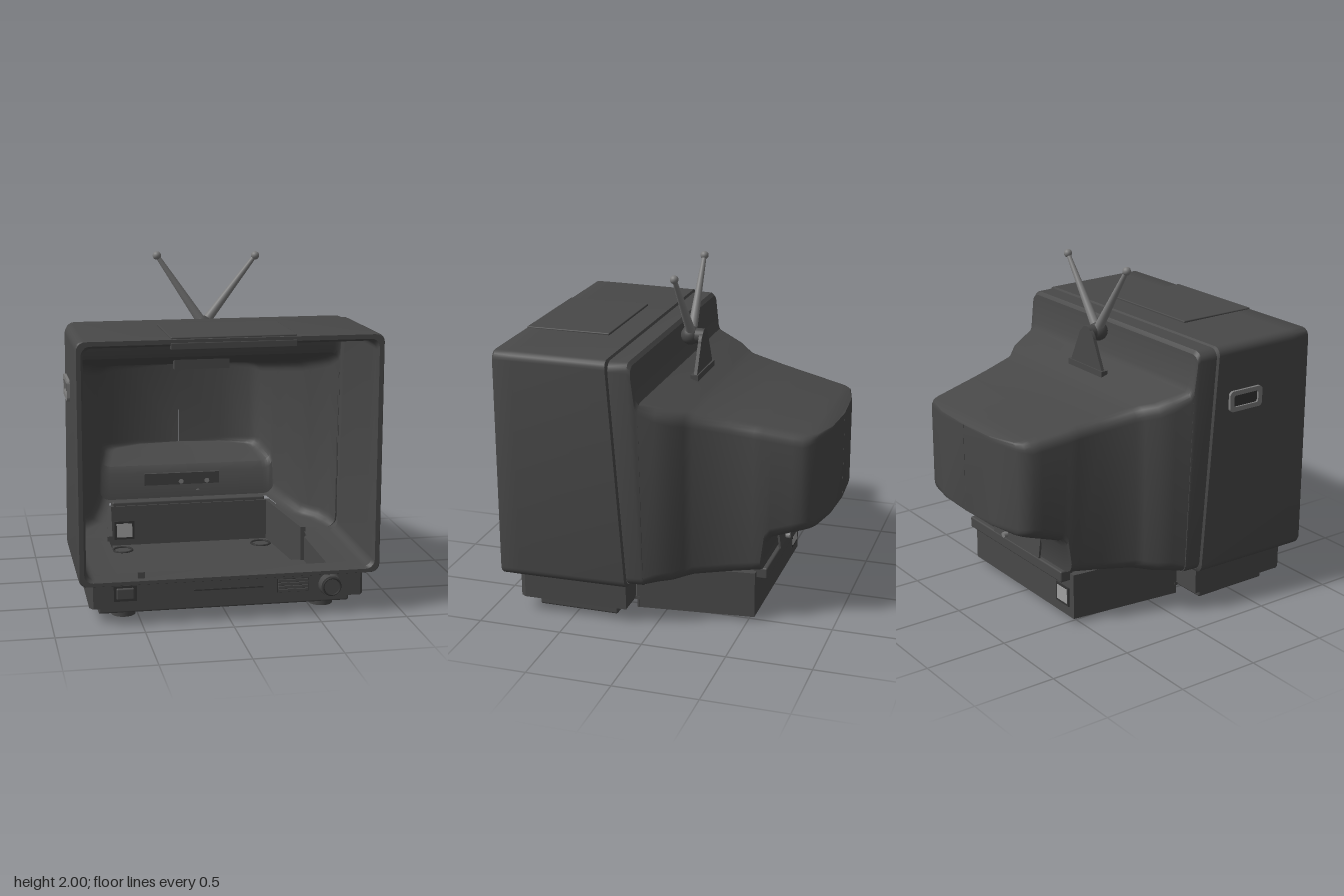
import * as THREE from 'three';
import { toCreasedNormals } from 'three/addons/utils/BufferGeometryUtils.js';
import { RoundedBoxGeometry } from 'three/addons/geometries/RoundedBoxGeometry.js';

const mat = (name, color) => {
  const m = new THREE.MeshStandardMaterial({ color, side: THREE.DoubleSide });
  m.name = name;
  return m;
};

// Rounded-rectangle outline, open along the bottom between -gap and +gap.
// tilt leans the section so that its top sits further forward.
function ring({ z, tilt = 0, hw, yb, yt, r, gap }) {
  const rad = Math.min(r, hw), pts = [], n = 5;
  const add = (x, y) => pts.push(new THREE.Vector3(x, y, z + tilt * (y - 0.93)));
  const lip = Math.min(gap, hw - rad);
  add(lip, yb);
  for (let c = 0; c < 4; c++) {
    const cx = (c < 2 ? 1 : -1) * (hw - rad);
    const cy = c === 1 || c === 2 ? yt - rad : yb + rad;
    for (let i = 0; i <= n; i++) {
      const a = (c - 1 + i / n) * Math.PI / 2;
      add(cx + rad * Math.cos(a), cy + rad * Math.sin(a));
    }
  }
  add(-lip, yb);
  return pts;
}

// Skin a list of sections
function loft(sections) {
  const rings = sections.map(ring), pos = [];
  const put = (...vs) => vs.forEach((v) => pos.push(v.x, v.y, v.z));
  for (let i = 0; i < rings.length - 1; i++) {
    for (let j = 0; j < rings[i].length - 1; j++) {
      const a = rings[i][j], b = rings[i][j + 1], c = rings[i + 1][j + 1], d = rings[i + 1][j];
      put(a, d, c, a, c, b);
    }
  }
  const g = new THREE.BufferGeometry();
  g.setAttribute('position', new THREE.Float32BufferAttribute(pos, 3));
  return toCreasedNormals(g, 0.6);
}

// Extrude a plan outline from y0 to y1; the right half as [x, z] points is mirrored
function planPrism(half, y0, y1) {
  const left = half.map(([x, z]) => [-x, z]).reverse();
  const s = new THREE.Shape([...half, ...left].map(([x, z]) => new THREE.Vector2(x, -z)));
  const g = new THREE.ExtrudeGeometry(s, { depth: y1 - y0, bevelEnabled: false });
  return g.rotateX(-Math.PI / 2).translate(0, y0, 0);
}

// Rounded rectangle outline with half sizes w, h
function roundedRect(w, h, r, Type) {
  const s = new Type(), q = Math.PI / 2;
  [[1, 1], [-1, 1], [-1, -1], [1, -1]].forEach(([sx, sy], i) => {
    s.absarc(sx * (w - r), sy * (h - r), r, i * q, (i + 1) * q);
  });
  return s.closePath();
}

// Underside of the rear housing: gentle rise, then a step up over the connectors
function rearBottom(z) {
  if (z > -0.59) return 0.279 - 0.1 * z;
  return z > -0.61 ? 0.5 : 0.545 - 0.28 * (z + 0.63);
}

export function createModel() {
  const model = new THREE.Group();
  const body = mat('charcoal plastic', 0x484848);
  const dark = mat('dark slots', 0x343434);
  const metal = mat('grey metal', 0x7c7c7c);
  const light = mat('pale socket', 0xa0a0a0);

  const add = (name, geo, material, x = 0, y = 0, z = 0) => {
    const m = new THREE.Mesh(geo, material);
    m.name = name;
    m.position.set(x, y, z);
    model.add(m);
    return m;
  };
  const box = (name, material, x0, x1, y0, y1, z0, z1, r = 0) => {
    const s = [x1 - x0, y1 - y0, z1 - z0];
    const g = r ? new RoundedBoxGeometry(...s, 2, r) : new THREE.BoxGeometry(...s);
    return add(name, g, material, (x0 + x1) / 2, (y0 + y1) / 2, (z0 + z1) / 2);
  };

  // Front housing: inner wall, rim, outer wall as [z, tilt, inset, gap]
  const frontRows = [
    [0.19, 0.074, 0.042, 0.6], [0.8, 0, 0.043, 0.6], [0.8, 0, 0.043, 0], [0.9, 0, 0.043, 0],
    [0.92, 0, 0.03, 0], [0.92, 0, 0.005, 0], [0.91, 0, 0, 0], [0.8, 0, 0, 0],
    [0.8, 0, 0, 0.6], [0.2, 0.074, 0.005, 0.6], [0.19, 0.074, 0.022, 0.6],
  ];
  add('frontHousing', loft(frontRows.map(([z, tilt, inset, gap]) => (
    { z, tilt, gap, r: 0.05, hw: 0.857 - inset, yb: 0.247 + 0.8 * inset, yt: 1.622 - inset }))), body);

  // Rear housing: tilted shoulder as [z, tilt, halfWidth, top], then the taper as [z, halfWidth]
  const shoulder = [
    [0.197, 0.074, 0.825, 1.595], [0.185, 0.074, 0.845, 1.61], [0.09, 0.055, 0.838, 1.61],
    [0.075, 0.05, 0.835, 1.59], [0.07, 0.035, 0.83, 1.41], [0.06, 0.02, 0.825, 1.375],
  ].map(([z, tilt, hw, yt]) => ({ z, tilt, hw, yt, yb: 0.272, r: 0.055, gap: 0.6 }));
  const taper = [
    [-0.02, 0.8], [-0.1, 0.765], [-0.16, 0.705], [-0.2, 0.672], [-0.4, 0.615], [-0.53, 0.585],
    [-0.531, 0.585], [-0.58, 0.575], [-0.6, 0.571], [-0.63, 0.565], [-0.75, 0.54], [-0.8, 0.53],
    [-0.84, 0.505], [-0.87, 0.465], [-0.915, 0.28], [-0.93, 0.001],
  ].map(([z, hw]) => ({
    z, hw,
    yb: rearBottom(z),
    yt: 1.285 + (z + 0.2) * (z > -0.2 ? 0.33 : 0.17),
    r: Math.min(0.07, 0.35 * (z + 1)),
    gap: z >= -0.53 ? 0.59 + 0.107 * z : 0,
  }));
  add('rearHousing', loft([...shoulder, ...taper]), body);

  // Lid on top
  box('topLid', body, -0.34, 0.36, 1.61, 1.63, 0.4, 0.915, 0.006);
  box('topLidLip', body, -0.34, 0.36, 1.56, 1.6, 0.88, 0.922, 0.005);

  // Base: front section and rear tray, open to the inside
  add('frontBase', planPrism([[0.77, 0.83], [0.79, 0.8], [0.78, 0.17], [0.6, 0.17], [0.6, 0.79]], 0.09, 0.252), body);
  box('frontBaseFloor', body, -0.61, 0.61, 0.08, 0.1, 0.16, 0.8);
  box('frontBasePlate', body, -0.73, 0.73, 0.025, 0.085, 0.24, 0.73, 0.012);
  add('rearBaseWalls', planPrism([[0.51, -0.51], [0.58, 0.16], [0.61, 0.16], [0.535, -0.54]], 0.03, 0.31), body);
  add('rearBaseFloor', planPrism([[0.61, 0.16], [0.535, -0.535]], 0.03, 0.05), body);
  box('rearBaseStep', body, -0.61, 0.61, 0.03, 0.1, 0.145, 0.16);
  box('rearLedge', body, -0.5, 0.5, 0.265, 0.335, -0.605, -0.52, 0.01);

  // Feet
  for (const s of [-1, 1]) {
    add('frontFoot', new THREE.CylinderGeometry(0.075, 0.07, 0.08, 24), body, s * 0.58, 0.04, 0.655);
    add('rearFoot', new THREE.CylinderGeometry(0.065, 0.06, 0.02, 24), body, s * 0.42, 0.025, -0.37);
    const recess = add('footRecess', new THREE.TorusGeometry(0.06, 0.008, 6, 24), dark, s * 0.45, 0.051, -0.4);
    recess.rotation.x = Math.PI / 2;
  }

  // Front controls
  box('powerButtonFrame', dark, -0.655, -0.525, 0.13, 0.22, 0.82, 0.837);
  box('powerButton', body, -0.64, -0.54, 0.142, 0.208, 0.82, 0.85, 0.008);
  box('frontSlot', dark, -0.2, 0.2, 0.166, 0.174, 0.82, 0.833);
  box('ventPanel', dark, 0.28, 0.465, 0.13, 0.21, 0.82, 0.833);
  for (let i = 0; i < 4; i++) {
    const y = 0.134 + i * 0.019;
    box('ventSlat', body, 0.285, 0.46, y, y + 0.015, 0.82, 0.842);
  }
  add('dial', new THREE.CylinderGeometry(0.062, 0.068, 0.06, 32), body, 0.59, 0.163, 0.852).rotation.x = Math.PI / 2;
  add('dialRing', new THREE.TorusGeometry(0.05, 0.006, 6, 32), dark, 0.59, 0.163, 0.881);
  box('rimCatch', body, -0.53, -0.49, 0.29, 0.325, 0.9, 0.93);

  // Side handle
  const handleShape = roundedRect(0.12, 0.062, 0.025, THREE.Shape);
  handleShape.holes.push(roundedRect(0.09, 0.035, 0.015, THREE.Path));
  const handleGeo = new THREE.ExtrudeGeometry(handleShape, { depth: 0.016, bevelEnabled: false });
  add('sideHandle', handleGeo, metal, -0.855, 1.285, 0.44).rotation.y = -Math.PI / 2;
  box('handleRecess', dark, -0.859, -0.854, 1.25, 1.32, 0.35, 0.53);

  // Rear connectors
  box('connectorPanel', body, -0.28, 0.21, 0.34, 0.5, -0.603, -0.59).rotation.x = 0.12;
  for (const [x, y] of [[0.13, 0.44], [0.07, 0.37], [-0.04, 0.44]]) {
    add('jack', new THREE.CylinderGeometry(0.016, 0.018, 0.05, 16), metal, x, y, -0.61).rotation.x = Math.PI / 2;
  }
  box('powerSocketFrame', dark, -0.49, -0.36, 0.09, 0.21, -0.545, -0.505);
  box('powerSocket', light, -0.475, -0.375, 0.105, 0.195, -0.548, -0.5);

  // Antenna bracket
  const plate = new THREE.Shape();
  plate.moveTo(-0.165, 0).lineTo(0.165, 0).lineTo(0.075, 0.19);
  plate.absarc(0, 0.17, 0.078, 0.26, Math.PI - 0.26).closePath();
  add('antennaBracket', new THREE.ExtrudeGeometry(plate, { depth: 0.02, bevelEnabled: false, curveSegments: 20 }),
    body, 0, 1.34, -0.07);
  box('bracketFoot', body, -0.17, 0.17, 1.28, 1.36, -0.08, -0.035);
  add('antennaPivot', new THREE.CylinderGeometry(0.045, 0.045, 0.1, 24), body, 0, 1.555, -0.02).rotation.x = Math.PI / 2;
  add('antennaHub', new THREE.SphereGeometry(0.058, 24, 16), body, 0, 1.555, 0.018);

  // Antenna rods with ball tips
  for (const [x, y] of [[-0.28, 1.977], [0.312, 1.967]]) {
    const from = new THREE.Vector3(0, 1.56, 0.012), to = new THREE.Vector3(x, y, 0.018);
    const dir = to.clone().sub(from);
    const mid = from.clone().addScaledVector(dir, 0.5);
    const rod = add('antennaRod', new THREE.CylinderGeometry(0.013, 0.03, dir.length(), 16), metal, mid.x, mid.y, mid.z);
    rod.quaternion.setFromUnitVectors(new THREE.Vector3(0, 1, 0), dir.normalize());
    add('antennaTip', new THREE.SphereGeometry(0.025, 16, 12), metal, to.x, to.y, to.z);
  }
  return model;
}
